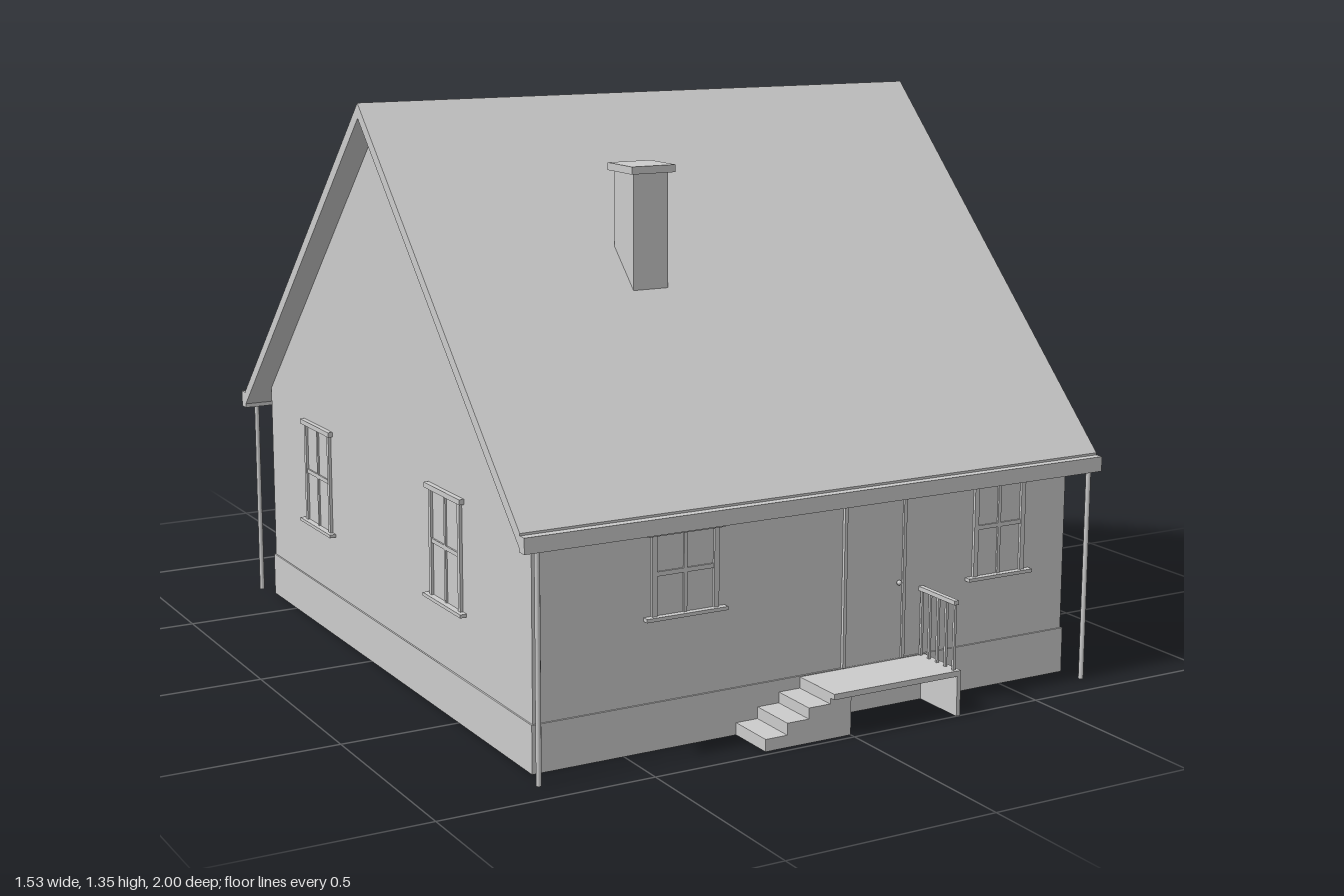
import * as THREE from 'three';

const grey = new THREE.MeshStandardMaterial({ color: 0xcccccc });
grey.name = 'plainGrey';

export function createModel() {
  const house = new THREE.Group();
  house.name = 'house';

  const add = (name, geo, parent = house) => {
    const m = new THREE.Mesh(geo, grey);
    m.name = name;
    parent.add(m);
    return m;
  };
  // Box given by its minimum and maximum corners
  const box = (name, x0, x1, y0, y1, z0, z1, parent = house) => {
    const g = new THREE.BoxGeometry(x1 - x0, y1 - y0, z1 - z0);
    g.translate((x0 + x1) / 2, (y0 + y1) / 2, (z0 + z1) / 2);
    return add(name, g, parent);
  };
  const shape = pts => new THREE.Shape(pts.map(p => new THREE.Vector2(...p)));
  const alongZ = (pts, z0, z1) =>
    new THREE.ExtrudeGeometry(shape(pts), { depth: z1 - z0, bevelEnabled: false }).translate(0, 0, z0);
  // Profile in (z, y), extruded along x
  const alongX = (pts, x0, x1) =>
    new THREE.ExtrudeGeometry(shape(pts.map(([z, y]) => [-z, y])), { depth: x1 - x0, bevelEnabled: false })
      .rotateY(Math.PI / 2).translate(x0, 0, 0);
  // Gable roof section with vertical thickness t
  const chevron = (u0, y0, uc, yc, u1, y1, t) =>
    [[u0, y0], [uc, yc], [u1, y1], [u1, y1 - t], [uc, yc - t], [u0, y0 - t]];

  // Open-bottomed plinth around the L-shaped plan
  const plan = e => [[-0.715 - e, -0.655 - e], [0.10 - e, -0.655 - e], [0.10 - e, -0.82 - e],
    [0.68 + e, -0.82 - e], [0.68 + e, 0.86 + e], [-0.715 - e, 0.86 + e]];
  const ring = shape(plan(0.004));
  ring.holes.push(new THREE.Path(plan(-0.012).map(p => new THREE.Vector2(...p))));
  add('plinth', new THREE.ExtrudeGeometry(ring, { depth: 0.108, bevelEnabled: false })
    .rotateX(Math.PI / 2).translate(0, 0.108, 0));

  // Main body, wing and their roofs
  add('mainWalls', alongX([[0.86, 0.1], [0.86, 0.57], [0.1, 1.32], [-0.655, 0.575], [-0.655, 0.1]], -0.715, 0.68));
  add('mainRoof', alongX(chevron(0.92, 0.54, 0.11, 1.35, -0.70, 0.545, 0.035), -0.77, 0.72));
  add('wingWalls', alongZ([[0.10, 0.1], [0.68, 0.1], [0.68, 0.57], [0.39, 0.865], [0.10, 0.57]], -0.82, -0.64));
  add('wingRoof', alongZ(chevron(0.04, 0.54, 0.39, 0.89, 0.74, 0.54, 0.03), -0.86, -0.355));
  add('sideEaveRoof', alongZ([[0.68, 0.6], [0.74, 0.54], [0.74, 0.515], [0.68, 0.57]], -0.36, 0.1));

  // Gutters and downpipes
  box('frontGutter', -0.77, 0.72, 0.5, 0.535, 0.915, 0.94);
  box('backGutter', -0.77, -0.52, 0.5, 0.54, -0.728, -0.7);
  box('backGutter', -0.12, 0.04, 0.5, 0.54, -0.728, -0.7);
  box('wingGutter', 0.02, 0.042, 0.5, 0.54, -0.86, -0.7);
  box('sideGutter', 0.738, 0.762, 0.5, 0.54, -0.86, 0.1);
  [[-0.735, 0.927], [0.692, 0.927], [0.75, 0.07], [0.75, -0.71], [0.75, -0.825],
    [0.03, -0.825], [-0.735, -0.715]].forEach(([x, z]) =>
    add('downpipe', new THREE.CylinderGeometry(0.006, 0.006, 0.51, 10).translate(x, 0.255, z)));

  // Chimney, running down through the floor
  box('chimney', -0.285, -0.197, 0.05, 1.21, 0.43, 0.518);
  box('chimneyCap', -0.296, -0.185, 1.203, 1.22, 0.417, 0.53);

  // Sash window built facing +z, then turned onto its wall
  const placed = (name, x, z, turn) => {
    const g = new THREE.Group();
    g.name = name;
    g.position.set(x, 0, z);
    g.rotation.y = turn;
    house.add(g);
    return g;
  };
  const windowAt = (x, z, turn, w, y0, y1, panes = 2) => {
    const g = placed('window', x, z, turn), h = w / 2, f = 0.012, mid = (y0 + y1) / 2;
    box('pane', -h, h, y0, y1, -0.005, 0.001, g);
    for (const s of [-1, 1]) box('jamb', s * (h - f / 2) - f / 2, s * (h - f / 2) + f / 2, y0, y1, 0, 0.007, g);
    box('head', -h - 0.012, h + 0.012, y1 - 0.008, y1 + 0.004, 0, 0.012, g);
    box('sill', -h - 0.018, h + 0.018, y0 - 0.008, y0, 0, 0.016, g);
    box('meetingRail', -h, h, mid - 0.005, mid + 0.005, 0, 0.005, g);
    for (let i = 1; i < panes; i++) {
      const mx = -h + w * i / panes;
      box('mullion', mx - 0.004, mx + 0.004, y0, y1, 0, 0.005, g);
    }
  };
  const doorAt = (x, z, turn, w, y1) => {
    const g = placed('door', x, z, turn), h = w / 2;
    box('doorLeaf', -h, h, 0.108, y1, -0.005, 0.003, g);
    for (const s of [-1, 1]) box('doorJamb', s * h - 0.004, s * h + 0.004, 0.108, y1, 0, 0.008, g);
    box('doorHead', -h - 0.004, h + 0.004, y1 - 0.004, y1 + 0.004, 0, 0.008, g);
    add('knob', new THREE.SphereGeometry(0.006, 10, 8).translate(h - 0.015, 0.287, 0.009), g);
  };
  windowAt(-0.35, 0.86, 0, 0.165, 0.3, 0.485);
  windowAt(0.487, 0.86, 0, 0.145, 0.27, 0.5);
  doorAt(0.14, 0.86, 0, 0.16, 0.49);
  for (const z of [0.44, -0.325]) {
    windowAt(0.68, z, Math.PI / 2, 0.165, 0.262, 0.515);
    windowAt(-0.715, z, -Math.PI / 2, 0.165, 0.262, 0.515);
  }
  windowAt(0.39, -0.82, Math.PI, 0.23, 0.27, 0.53, 3);
  windowAt(-0.6, -0.655, Math.PI, 0.14, 0.27, 0.5);
  windowAt(-0.03, -0.655, Math.PI, 0.12, 0.27, 0.5);
  doorAt(-0.315, -0.655, Math.PI, 0.16, 0.48);

  // Railing along z
  const railing = (x, z0, z1, n) => {
    box('handrail', x - 0.006, x + 0.006, 0.258, 0.268, z0, z1);
    for (let i = 0; i < n; i++) {
      const z = z0 + 0.006 + (z1 - z0 - 0.012) * i / (n - 1);
      box('baluster', x - 0.003, x + 0.003, 0.1, 0.26, z - 0.003, z + 0.003);
    }
  };

  // Front landing with side steps
  box('landing', -0.055, 0.285, 0.093, 0.106, 0.86, 1.0);
  box('landingSide', 0.275, 0.285, 0, 0.1, 0.86, 1.0);
  add('frontSteps', alongZ([[-0.22, 0], [0, 0], [0, 0.105], [-0.055, 0.105], [-0.055, 0.08],
    [-0.11, 0.08], [-0.11, 0.055], [-0.165, 0.055], [-0.165, 0.028], [-0.22, 0.028]], 0.86, 0.985));
  railing(0.272, 0.86, 0.995, 5);

  // Back porch: floor, steps, columns, railings and gable
  const px = -0.315;
  box('porchFloor', px - 0.2, px + 0.2, 0, 0.108, -0.85, -0.655);
  add('porchSteps', alongX([[-0.84, 0], [-0.84, 0.1], [-0.893, 0.1], [-0.893, 0.068], [-0.946, 0.068],
    [-0.946, 0.035], [-1, 0.035], [-1, 0]], -0.422, -0.208));
  for (const s of [-1, 1]) {
    const x = px + s * 0.18;
    box('porchColumn', x - 0.013, x + 0.013, 0.1, 0.46, -0.843, -0.817);
    box('columnCap', x - 0.019, x + 0.019, 0.435, 0.455, -0.849, -0.811);
    box('columnBase', x - 0.019, x + 0.019, 0.1, 0.125, -0.849, -0.811);
    box('porchBeam', x - 0.012, x + 0.012, 0.455, 0.49, -0.85, -0.655);
    railing(x, -0.815, -0.66, 6);
  }
  add('porchPediment', alongZ([[px - 0.225, 0.47], [px + 0.225, 0.47], [px, 0.665]], -0.85, -0.835));
  add('porchRoof', alongZ(chevron(px - 0.265, 0.478, px, 0.69, px + 0.265, 0.478, 0.028), -0.9, -0.575));
  return house;
}
